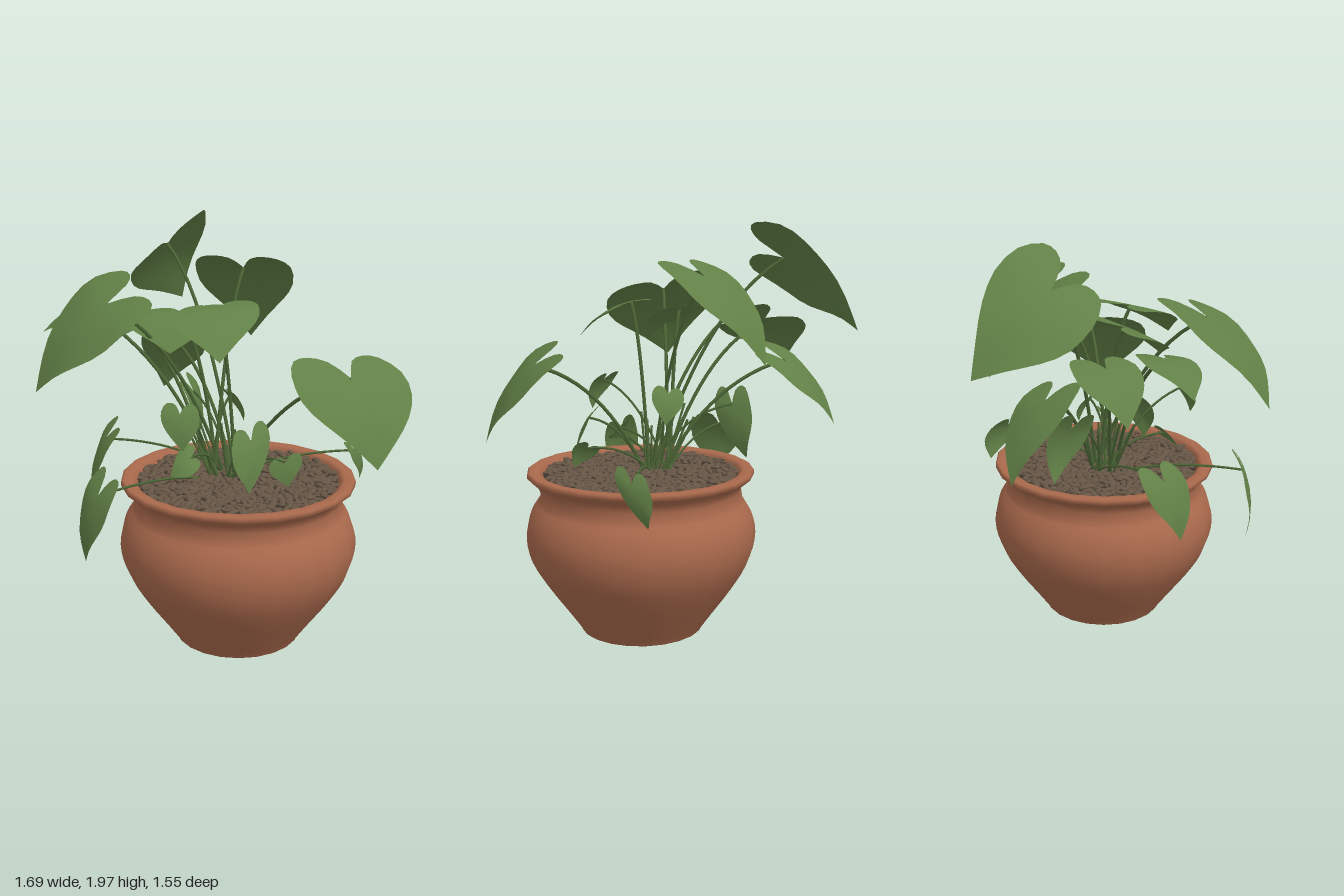
import * as THREE from 'three';
import { mergeGeometries } from 'three/addons/utils/BufferGeometryUtils.js';

const V = (p) => new THREE.Vector3(...p);
const CX = 0.11, CZ = 0.22; // pot axis

function makeMaterial(name, color, side = THREE.FrontSide) {
  const m = new THREE.MeshStandardMaterial({ color, side });
  m.name = name;
  return m;
}

function seeded(seed) {
  let s = seed;
  return () => (s = (s * 16807) % 2147483647) / 2147483647;
}

// Half outline of a heart-shaped leaf: t runs from lobes to tip, v sideways
const HALF = new THREE.CatmullRomCurve3([
  [0.24, 0], [0.06, 0.13], [0, 0.3], [0.03, 0.46], [0.2, 0.59],
  [0.42, 0.59], [0.62, 0.45], [0.82, 0.22], [1, 0],
].map(([t, v]) => new THREE.Vector3(t, v, 0))).getPoints(16);
const OUTLINE = [...HALF, ...HALF.slice(1, -1).reverse().map((p) => new THREE.Vector3(p.x, -p.y, 0))];

// Leaf stretched over two lobe points and a tip, arched along its normal
function leafFrame([a, b, tip]) {
  const A = V(a), B = V(b), T = V(tip);
  const mid = A.clone().add(B).multiplyScalar(0.5);
  const along = T.clone().sub(mid), across = B.clone().sub(A);
  const normal = along.clone().cross(across).normalize();
  if (normal.y < 0) {
    normal.negate();
    across.negate();
  }
  const arch = along.length() * 0.12;
  const at = (t, v) => mid.clone().addScaledVector(along, t).addScaledVector(across, v)
    .addScaledVector(normal, arch * (Math.sin(Math.PI * Math.min(1, t)) - 0.5 * v * v + 0.25 * Math.abs(v) * Math.sin(9 * t)));
  return { at };
}

function leafGeometry(points) {
  const { at } = leafFrame(points);
  const n = OUTLINE.length, rings = 4, ct = 0.3;
  const pos = [...at(ct, 0).toArray()], index = [];
  for (let r = 1; r <= rings; r++) {
    for (const p of OUTLINE) pos.push(...at(ct + (p.x - ct) * r / rings, p.y * r / rings).toArray());
  }
  for (let i = 0; i < n; i++) {
    const j = (i + 1) % n;
    index.push(0, 1 + i, 1 + j);
    for (let r = 1; r < rings; r++) {
      const p = 1 + (r - 1) * n, q = p + n;
      index.push(p + i, q + i, q + j, p + i, q + j, p + j);
    }
  }
  const g = new THREE.BufferGeometry();
  g.setAttribute('position', new THREE.Float32BufferAttribute(pos, 3));
  g.setIndex(index);
  g.computeVertexNormals();
  return g;
}

// Each leaf: lobe, other lobe, tip
const LARGE = [
  [[-0.05, 1.99, -0.28], [-0.36, 1.74, -0.19], [-0.17, 1.47, -0.77]],
  [[-0.08, 1.8, -0.02], [0.3, 1.8, 0.08], [0.19, 1.33, -0.42]],
  [[-0.42, 1.75, 0.02], [-0.25, 1.64, 0.49], [-0.79, 1.25, 0.4]],
  [[0.31, 1.44, 0.56], [0.74, 1.4, 0.32], [0.68, 1.0, 0.74]],
  [[-0.32, 1.52, -0.38], [-0.29, 1.47, -0.04], [-0.64, 1.28, -0.32]],
  [[-0.05, 1.35, -0.3], [-0.32, 1.4, -0.28], [-0.27, 1.0, -0.65]],
  [[-0.5, 1.55, -0.17], [-0.52, 1.5, 0.08], [-0.83, 1.41, -0.13]],
  [[-0.33, 1.55, 0.02], [0.06, 1.58, 0.04], [-0.2, 1.4, 0.3]],
  [[-0.15, 1.6, 0.24], [0.16, 1.62, 0.14], [0.02, 1.42, 0.57]],
];
const SMALL = [
  [[-0.5, 0.95, 0.5], [-0.41, 0.9, 0.62], [-0.58, 0.5, 0.54]],
  [[-0.45, 0.98, 0.12], [-0.48, 1.0, -0.12], [-0.6, 0.64, 0.06]],
  [[0.08, 1.08, 0.46], [0.22, 1.12, 0.38], [0.15, 0.82, 0.54]],
  [[-0.22, 1.22, 0.46], [-0.08, 1.22, 0.5], [-0.14, 1.03, 0.58]],
  [[0.26, 0.92, 0.36], [0.38, 0.97, 0.4], [0.33, 0.83, 0.47]],
  [[0.61, 0.93, 0.14], [0.67, 0.9, -0.02], [0.72, 0.68, -0.05]],
  [[-0.1, 1.0, 0.36], [-0.06, 0.92, 0.44], [-0.2, 0.87, 0.45]],
  [[-0.17, 1.17, -0.08], [-0.13, 1.19, -0.24], [-0.08, 0.84, -0.26]],
  [[0.02, 1.18, 0.04], [0.06, 1.2, 0.16], [0.14, 1.02, 0.08]],
];

export function createModel() {
  const model = new THREE.Group();
  model.name = 'pottedPlant';
  const terracotta = makeMaterial('terracotta', 0xa9694c);
  const soilBrown = makeMaterial('soilBrown', 0x3c332b);
  const pebbleBrown = makeMaterial('pebbleBrown', 0x655545);
  const leafGreen = makeMaterial('leafGreen', 0x618046, THREE.DoubleSide);
  const stemGreen = makeMaterial('stemGreen', 0x4c6636);

  const add = (name, geometry, material, parent = model) => {
    const mesh = new THREE.Mesh(geometry, material);
    mesh.name = name;
    parent.add(mesh);
    return mesh;
  };

  // Pot: recessed foot, round belly, narrow neck and flared lip
  const belly = new THREE.SplineCurve([
    [0.3, 0.005], [0.36, 0.09], [0.46, 0.23], [0.535, 0.36], [0.56, 0.48], [0.54, 0.58], [0.495, 0.655],
  ].map((p) => new THREE.Vector2(...p))).getPoints(18);
  const profile = [
    [0, 0.03], [0.25, 0.03], [0.28, 0], [0.3, 0],
    ...belly.map((p) => [p.x, p.y]),
    [0.488, 0.7], [0.5, 0.735], [0.535, 0.762], [0.55, 0.775], [0.55, 0.793], [0.54, 0.8],
    [0.5, 0.798], [0.48, 0.785], [0.47, 0.74],
  ].map((p) => new THREE.Vector2(...p));
  add('pot', new THREE.LatheGeometry(profile, 22), terracotta).position.set(CX, 0, CZ);

  // Soil disc under the pebbles
  const soil = add('soil', new THREE.CircleGeometry(0.485, 22).rotateX(-Math.PI / 2), soilBrown);
  soil.position.set(CX, 0.765, CZ);

  // Pebbles scattered evenly in a spiral
  const rand = seeded(71);
  const pebbles = [];
  const count = 620;
  for (let i = 0; i < count; i++) {
    const r = 0.465 * Math.sqrt((i + 0.5) / count), a = i * 2.39996;
    const s = 0.8 + rand() * 0.5;
    const g = new THREE.IcosahedronGeometry(1, 0);
    g.scale(0.03 * s, 0.011 * s, 0.016 * s);
    g.rotateX((rand() - 0.5) * 0.8);
    g.rotateZ((rand() - 0.5) * 0.7);
    g.rotateY(rand() * Math.PI * 2);
    g.translate(CX + r * Math.cos(a), 0.772 + rand() * 0.014, CZ + r * Math.sin(a));
    pebbles.push(g);
  }
  add('pebbles', mergeGeometries(pebbles), pebbleBrown);

  // Leaves, each with a stem arching up from the middle of the pot
  const stem = (points, i, radius) => {
    const end = leafFrame(points).at(0.25, 0);
    const foot = new THREE.Vector3(0.04 + 0.06 * Math.cos(i * 2.4), 0.76, 0.16 + 0.06 * Math.sin(i * 2.4));
    const bend = foot.clone().lerp(end, 0.4);
    bend.y = foot.y + (end.y - foot.y) * 0.75 + 0.05;
    return new THREE.TubeGeometry(new THREE.QuadraticBezierCurve3(foot, bend, end), 14, radius, 5);
  };
  const foliage = new THREE.Group();
  foliage.name = 'foliage';
  model.add(foliage);
  [...LARGE, ...SMALL].forEach((points, i) => {
    const big = i < LARGE.length;
    add(big ? 'largeLeaf' : 'smallLeaf', leafGeometry(points), leafGreen, foliage);
    add('stem', stem(points, i, big ? 0.009 : 0.006), stemGreen, foliage);
  });

  // Short bare shoots around the stem cluster
  for (let i = 0; i < 8; i++) {
    const a = i * 0.8 + 0.3;
    const foot = new THREE.Vector3(0.04 + 0.05 * Math.cos(a), 0.76, 0.16 + 0.05 * Math.sin(a));
    const top = new THREE.Vector3(-0.03 + 0.13 * Math.cos(a), 0.98 + 0.12 * rand(), 0.13 + 0.13 * Math.sin(a));
    add('shoot', new THREE.TubeGeometry(new THREE.LineCurve3(foot, top), 1, 0.006, 5), stemGreen, foliage);
  }
  return model;
}
